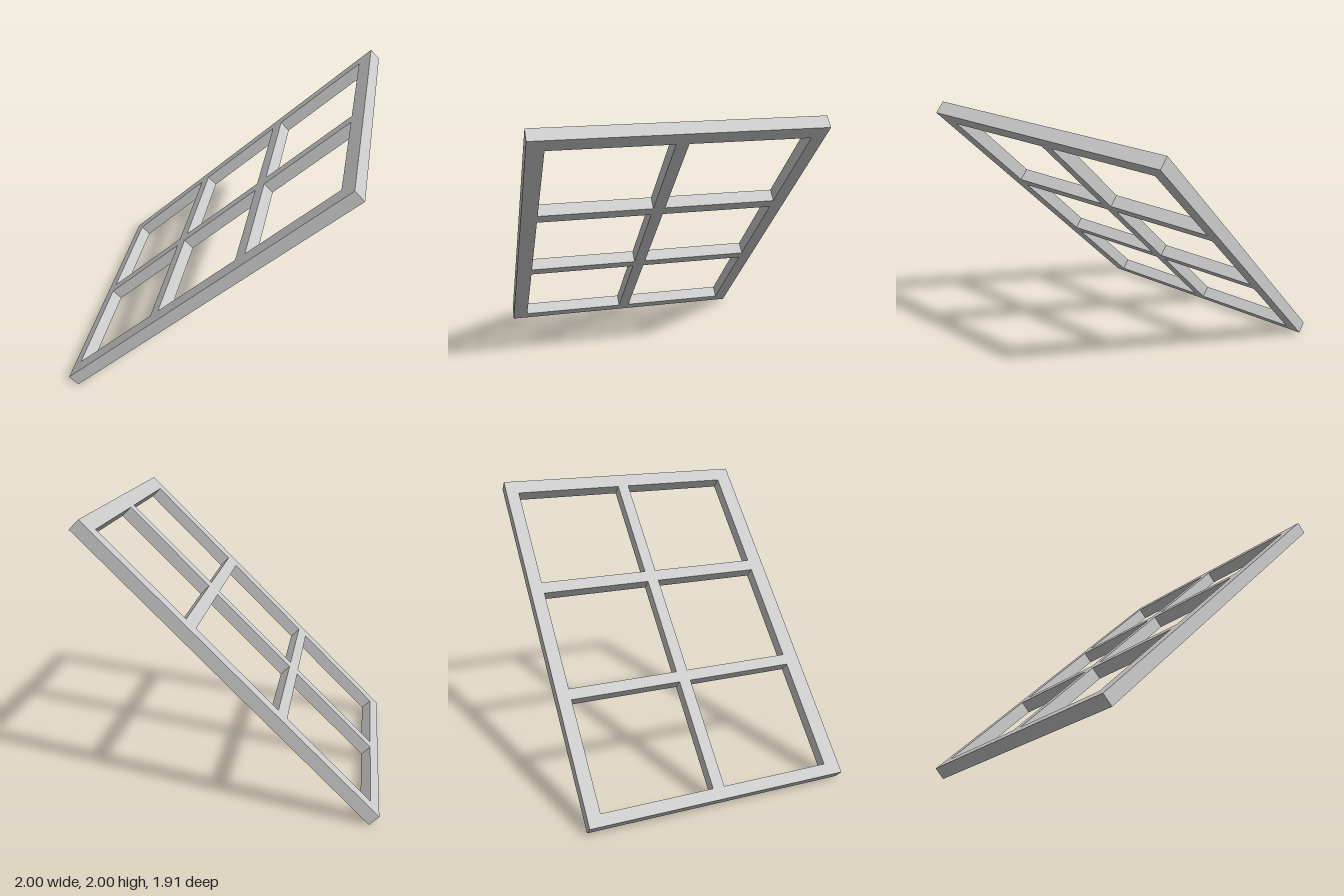
import * as THREE from 'three';

const R = Math.SQRT2;
const THICK = 0.065 * R;
const HALF_LEN = 0.9675 * R;
const HALF_WIDTH = 0.955;

// Openings as [start, end]: along the slope (as horizontal run), and across in z
const ROWS = [[-0.9075, -0.338], [-0.28, 0.26], [0.323, 0.89]];
const COLUMNS = [[-0.861, -0.051], [0.034, 0.842]];

function rectangle(path, x0, y0, x1, y1) {
  path.moveTo(x0, y0);
  path.lineTo(x1, y0);
  path.lineTo(x1, y1);
  path.lineTo(x0, y1);
  path.closePath();
  return path;
}

export function createModel() {
  const group = new THREE.Group();
  group.name = 'windowFrame';

  // Flat frame outline with six pane openings
  const outline = rectangle(new THREE.Shape(), -HALF_LEN, -HALF_WIDTH, HALF_LEN, HALF_WIDTH);
  for (const [u0, u1] of ROWS) {
    for (const [z0, z1] of COLUMNS) {
      outline.holes.push(rectangle(new THREE.Path(), u0 * R, -z1, u1 * R, -z0));
    }
  }

  // Lay the slab flat, then tilt it up toward +x
  const geometry = new THREE.ExtrudeGeometry(outline, { depth: THICK, bevelEnabled: false });
  geometry.translate(0, 0, -THICK / 2);
  geometry.rotateX(-Math.PI / 2);
  geometry.rotateZ(Math.PI / 4);
  geometry.translate(0, 1, 0);

  const frame = new THREE.Mesh(geometry, new THREE.MeshStandardMaterial({ color: 0xcccccc }));
  frame.name = 'paneFrame';
  group.add(frame);
  return group;
}
